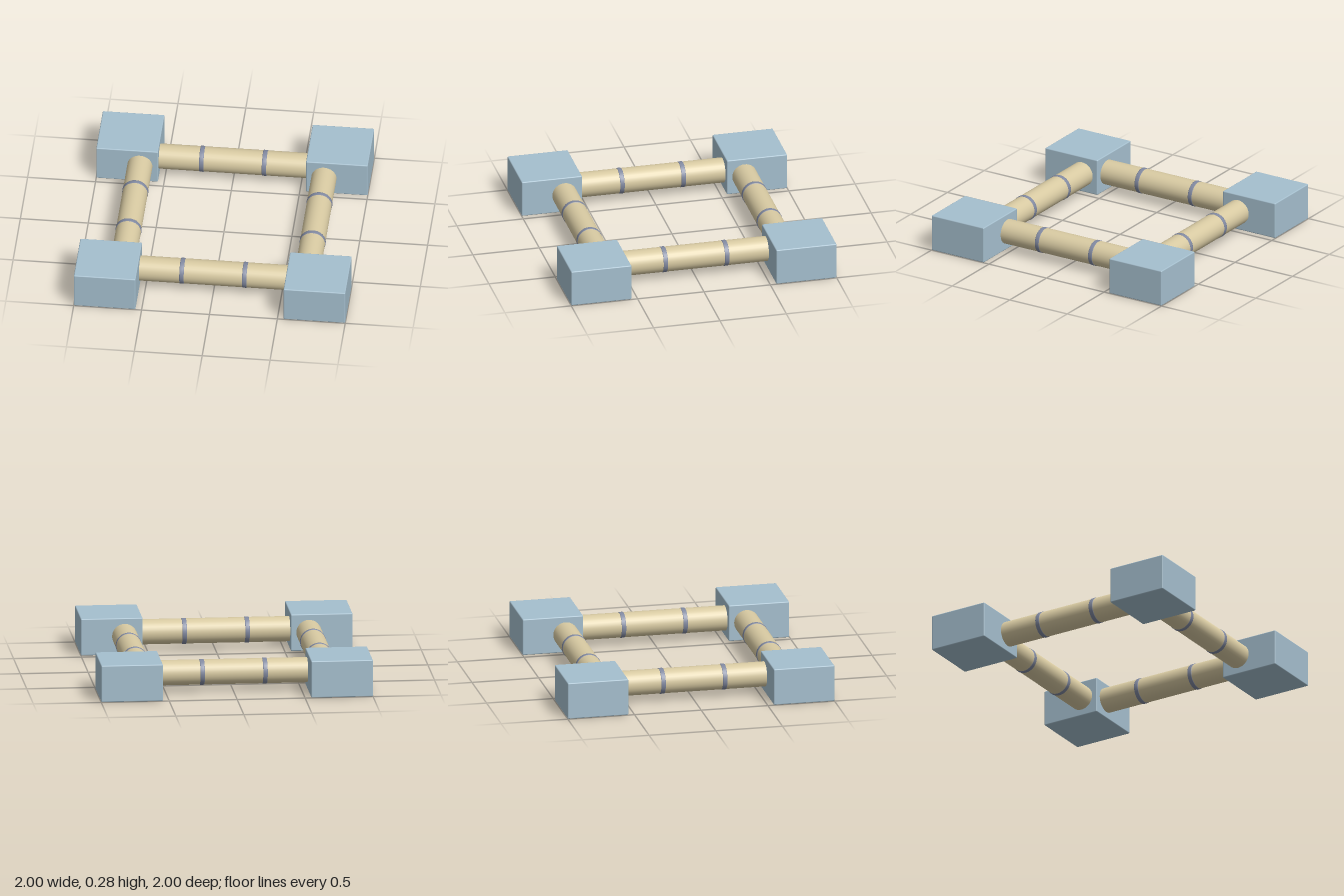
import * as THREE from 'three';
import { RoundedBoxGeometry } from 'three/addons/geometries/RoundedBoxGeometry.js';

export function createModel() {
  const model = new THREE.Group();
  model.name = 'squareFrame';

  const mat = (name, color) => {
    const m = new THREE.MeshStandardMaterial({ color });
    m.name = name;
    return m;
  };
  const blockBlue = mat('paleBlue', 0xa5bfce);
  const tubeTan = mat('tan', 0xd8caa2);
  const bandGrey = mat('slateGrey', 0x8189a0);

  const add = (parent, name, geometry, material) => {
    const mesh = new THREE.Mesh(geometry, material);
    mesh.name = name;
    parent.add(mesh);
    return mesh;
  };

  // Four corner blocks with softened edges
  const blockGeo = new RoundedBoxGeometry(0.455, 0.275, 0.455, 2, 0.008);
  for (const x of [-1, 1]) {
    for (const z of [-1, 1]) {
      add(model, 'cornerBlock', blockGeo, blockBlue).position.set(x * 0.7725, 0.1375, z * 0.7725);
    }
  }

  // Connecting tube, lying along x
  const tubeGeo = new THREE.CylinderGeometry(0.0925, 0.0925, 1.1, 32).rotateZ(Math.PI / 2);

  // Thin band with chamfered rims, open inside
  const band = [[0.09, -0.0165], [0.0935, -0.0165], [0.0955, -0.0125],
    [0.0955, 0.0125], [0.0935, 0.0165], [0.09, 0.0165]];
  const bandGeo = new THREE.LatheGeometry(band.map(([r, y]) => new THREE.Vector2(r, y)), 32)
    .rotateZ(Math.PI / 2);

  // One rail per side, each carrying two bands
  for (let i = 0; i < 4; i++) {
    const rail = new THREE.Group();
    rail.name = 'rail';
    add(rail, 'railTube', tubeGeo, tubeTan);
    for (const s of [-1, 1]) add(rail, 'railBand', bandGeo, bandGrey).position.x = s * 0.231;
    const a = i * Math.PI / 2;
    rail.position.set(Math.sin(a) * 0.678, 0.14, Math.cos(a) * 0.678);
    rail.rotation.y = a;
    model.add(rail);
  }

  return model;
}
